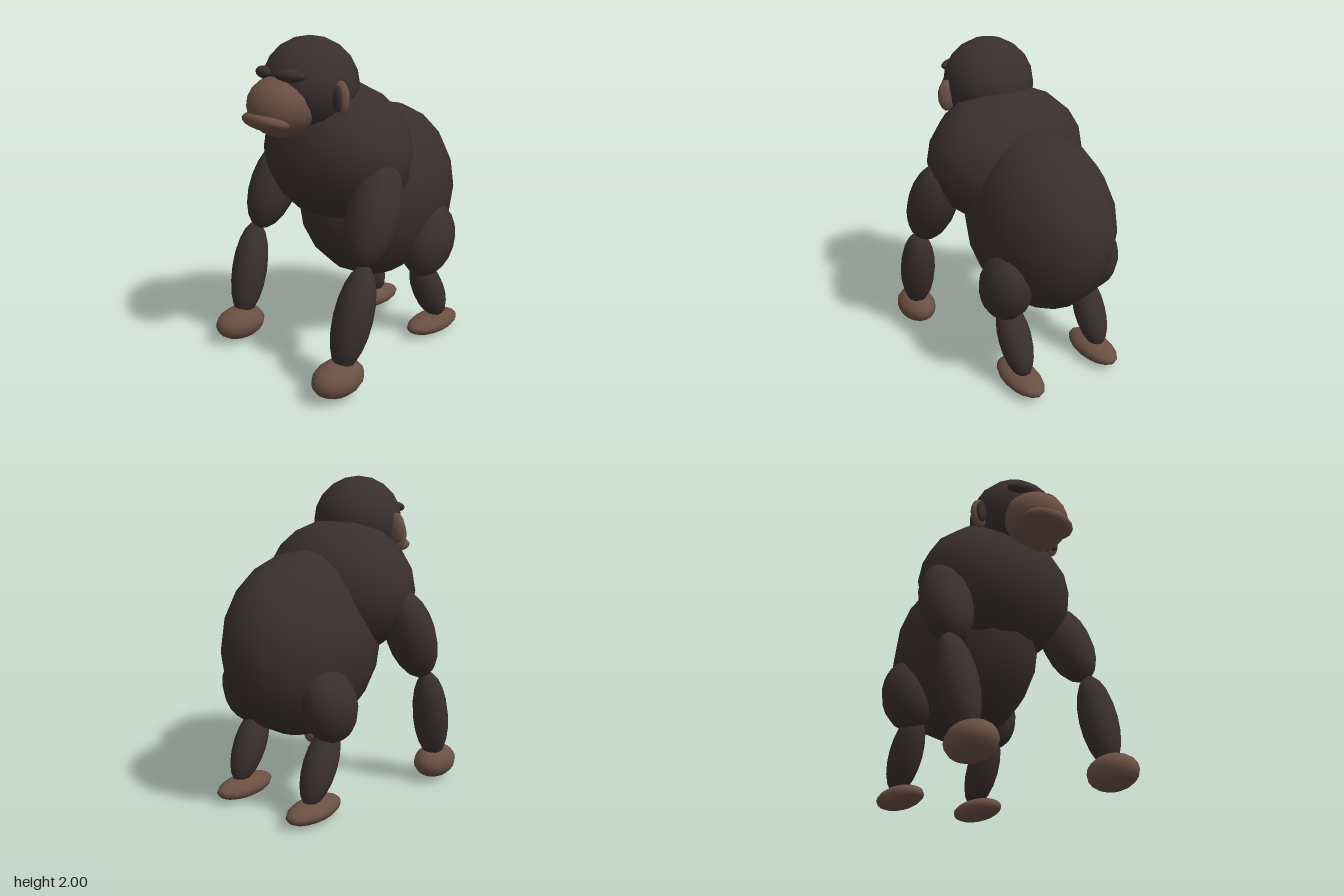
import * as THREE from 'three';

export function createModel() {
  const model = new THREE.Group();
  model.name = 'ape';

  const fur = new THREE.MeshStandardMaterial({ color: 0x3a2f2f });
  fur.name = 'dark fur';
  const skin = new THREE.MeshStandardMaterial({ color: 0x6b5043 });
  skin.name = 'brown skin';

  const ball = new THREE.SphereGeometry(1, 16, 10);

  // Ellipsoid part from centre, radii and rotation
  function blob(name, material, center, radii, rotation = [0, 0, 0]) {
    const mesh = new THREE.Mesh(ball, material);
    mesh.name = name;
    mesh.position.set(...center);
    mesh.scale.set(...radii);
    mesh.rotation.set(...rotation);
    model.add(mesh);
  }

  // Mirrored pair; the values describe the left (+x) side
  function pair(name, material, [x, y, z], radii, [rx, ry, rz] = [0, 0, 0]) {
    blob('left' + name, material, [x, y, z], radii, [rx, ry, rz]);
    blob('right' + name, material, [-x, y, z], radii, [rx, -ry, -rz]);
  }

  // Torso
  blob('belly', fur, [0, 0.995, -0.2], [0.41, 0.567, 0.577]);
  blob('chest', fur, [0, 1.305, 0.15], [0.52, 0.43, 0.4]);

  // Head and face
  blob('head', fur, [0, 1.72, 0.35], [0.285, 0.28, 0.285]);
  blob('muzzle', skin, [0, 1.62, 0.56], [0.207, 0.177, 0.2]);
  blob('lip', skin, [0, 1.545, 0.675], [0.18, 0.055, 0.105], [-0.25, 0, 0]);
  pair('Brow', fur, [0.115, 1.8, 0.587], [0.1, 0.036, 0.045], [0, 0.3, 0]);
  pair('Ear', skin, [0.285, 1.675, 0.37], [0.06, 0.097, 0.038]);
  pair('InnerEar', fur, [0.288, 1.675, 0.396], [0.038, 0.073, 0.025]);

  // Arms
  pair('UpperArm', fur, [0.463, 1.03, 0.29], [0.157, 0.312, 0.153], [-0.42, 0, 0.06]);
  pair('Forearm', fur, [0.505, 0.47, 0.483], [0.115, 0.315, 0.115], [-0.26, 0, -0.05]);
  pair('Hand', skin, [0.488, 0.127, 0.583], [0.123, 0.107, 0.172]);

  // Legs
  pair('Thigh', fur, [0.32, 0.69, -0.34], [0.155, 0.243, 0.185], [-0.4, 0, 0]);
  pair('Shin', fur, [0.29, 0.33, -0.385], [0.102, 0.25, 0.105], [0.47, 0, 0]);
  pair('Foot', skin, [0.287, 0.072, -0.44], [0.108, 0.068, 0.218]);

  return model;
}
